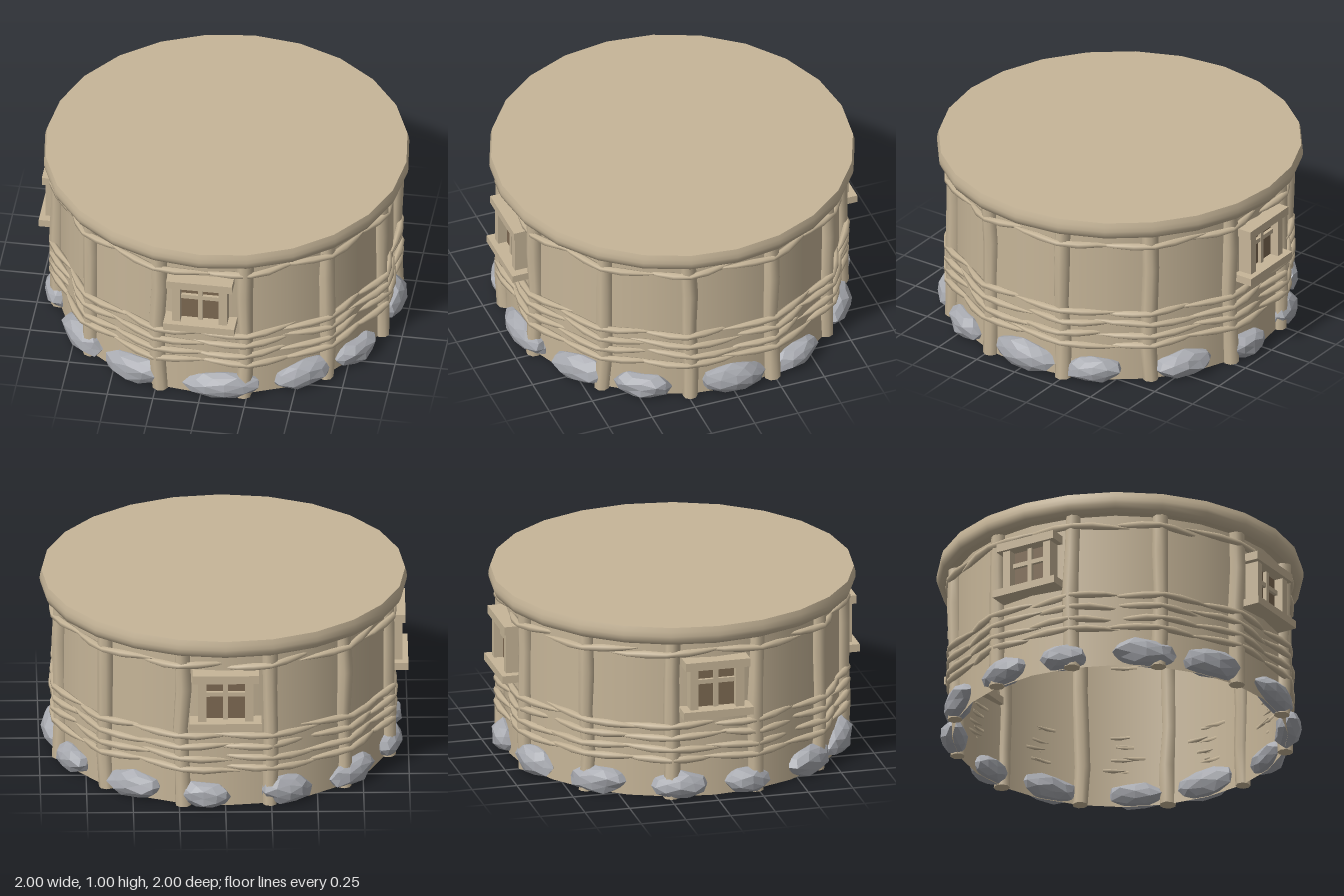
import * as THREE from 'three';

const paint = (name, color) => {
  const m = new THREE.MeshStandardMaterial({ color });
  m.name = name;
  return m;
};
const V = (x, y, z) => new THREE.Vector3(x, y, z);

// Small seeded random numbers
function seeded(seed) {
  return () => {
    seed = (seed * 16807) % 2147483647;
    return seed / 2147483647;
  };
}

// Tube of changing radius through centres; u x v must point along the path
function loft(rings, u, v, sides) {
  const pos = [], idx = [];
  const addRing = (r) => {
    for (let j = 0; j < sides; j++) {
      const a = (j / sides) * Math.PI * 2;
      const p = r.c.clone().addScaledVector(u, Math.cos(a) * r.r).addScaledVector(v, Math.sin(a) * r.r);
      pos.push(p.x, p.y, p.z);
    }
  };
  rings.forEach(addRing);
  for (let i = 0; i < rings.length - 1; i++) {
    for (let j = 0; j < sides; j++) {
      const a = i * sides + j, b = i * sides + (j + 1) % sides;
      idx.push(a, b, a + sides, b, b + sides, a + sides);
    }
  }
  // End caps with their own corners, so the ends stay sharp
  [rings[0], rings[rings.length - 1]].forEach((r, end) => {
    const s = pos.length / 3;
    addRing(r);
    for (let j = 1; j < sides - 1; j++) {
      if (end) idx.push(s, s + j, s + j + 1);
      else idx.push(s, s + j + 1, s + j);
    }
  });
  const g = new THREE.BufferGeometry();
  g.setAttribute('position', new THREE.Float32BufferAttribute(pos, 3));
  g.setIndex(idx);
  g.computeVertexNormals();
  return g;
}

export function createModel() {
  const root = new THREE.Group();
  root.name = 'roundHut';
  const clay = paint('tan clay and wood', 0xc6b598);
  const stoneGrey = paint('stone grey', 0xa9abb1);
  const dark = paint('dark window', 0x7d6952);
  const clayShell = paint('tan clay wall', 0xc6b598);
  clayShell.side = THREE.DoubleSide;
  const rnd = seeded(4711);
  const wobble = (s) => (rnd() - 0.5) * 2 * s;

  const add = (parent, name, geo, mat) => {
    const m = new THREE.Mesh(geo, mat);
    m.name = name;
    parent.add(m);
    return m;
  };

  // Open-ended round wall
  const wall = add(root, 'wall', new THREE.CylinderGeometry(0.91, 0.91, 0.9, 24, 1, true), clayShell);
  wall.position.y = 0.45;

  // Cap slab: rounded rim, flat top and underside
  const rim = [[0.955, 0.893], [0.98, 0.905], [0.992, 0.93], [0.995, 0.95], [0.992, 0.975], [0.985, 1.0]];
  add(root, 'capRim', new THREE.LatheGeometry(rim.map(([r, y]) => new THREE.Vector2(r, y)), 24), clay);
  // Disc corners line up with the rim corners
  const top = add(root, 'capTop', new THREE.CircleGeometry(0.985, 24), clay);
  top.rotation.x = -Math.PI / 2;
  top.position.y = 1.0;
  const under = add(root, 'capUnderside', new THREE.CircleGeometry(0.955, 24), clay);
  under.rotation.x = Math.PI / 2;
  under.position.y = 0.893;

  // Crooked posts, each crossed by bent withies
  const rows = [0.22, 0.28, 0.35, 0.415, 0.83];
  for (let i = 0; i < 12; i++) {
    const bay = new THREE.Group();
    bay.name = 'postBay';
    bay.rotation.y = ((15 + 30 * i) * Math.PI) / 180;
    root.add(bay);

    const post = [0, 0.22, 0.45, 0.68, 0.9].map((y) => ({
      c: V(wobble(0.01), y, 0.915 + wobble(0.006)),
      r: 0.043 + wobble(0.004),
    }));
    add(bay, 'post', loft(post, V(0, 0, 1), V(1, 0, 0), 8), clay);

    rows.forEach((y) => {
      const half = 0.28 + wobble(0.035), shift = wobble(0.025), tilt = wobble(0.018);
      const shape = [[-1, 0.003], [-0.7, 0.015], [-0.38, 0.022], [0, 0.017], [0.38, 0.022], [0.7, 0.015], [1, 0.003]];
      const withy = shape.map(([t, r]) => ({
        c: V(t * half + shift, y + tilt * t + wobble(0.003), 0.951 - 0.09 * Math.pow(Math.abs(t), 1.3)),
        r,
      }));
      add(bay, 'withy', loft(withy, V(0, 1, 0), V(0, 0, 1), 6), clay);
    });
  }

  // Windows on the front, the back and the -x side
  const box = (parent, name, x0, x1, y0, y1, z0, z1, mat) => {
    const m = add(parent, name, new THREE.BoxGeometry(x1 - x0, y1 - y0, z1 - z0), mat);
    m.position.set((x0 + x1) / 2, (y0 + y1) / 2, (z0 + z1) / 2);
  };
  [0, Math.PI, -Math.PI / 2].forEach((angle) => {
    const win = new THREE.Group();
    win.name = 'window';
    win.rotation.y = angle;
    root.add(win);
    box(win, 'pane', -0.11, 0.11, 0.51, 0.76, 0.88, 0.918, dark);
    box(win, 'lintel', -0.18, 0.18, 0.75, 0.797, 0.87, 0.985, clay);
    box(win, 'sill', -0.195, 0.195, 0.477, 0.52, 0.86, 1.0, clay);
    box(win, 'jamb', -0.15, -0.105, 0.515, 0.755, 0.87, 0.968, clay);
    box(win, 'jamb', 0.105, 0.15, 0.515, 0.755, 0.87, 0.968, clay);
    box(win, 'mullion', -0.013, 0.013, 0.515, 0.755, 0.9, 0.938, clay);
    box(win, 'crossbar', -0.108, 0.108, 0.655, 0.68, 0.9, 0.936, clay);
  });

  // Foundation stones: [angle in degrees, half width, height]
  const stones = [
    [8, 0.225, 0.15], [36, 0.19, 0.16], [59, 0.17, 0.14], [90, 0.2, 0.17], [116, 0.17, 0.14],
    [147, 0.18, 0.15], [173, 0.15, 0.14], [201, 0.16, 0.16], [229, 0.18, 0.15], [258, 0.17, 0.15],
    [282, 0.14, 0.14], [310, 0.19, 0.16], [335, 0.2, 0.16],
  ];
  stones.forEach(([deg, half, height], k) => {
    const g = new THREE.IcosahedronGeometry(1, 1);
    const p = g.attributes.position;
    for (let i = 0; i < p.count; i++) {
      const d = V(0, 0, 0).fromBufferAttribute(p, i);
      // Lumpiness depends only on direction, so shared corners stay together
      const n = 0.93 + 0.1 * Math.sin(d.x * 5.1 + k * 2.3) * Math.cos(d.y * 4.3 + d.z * 3.7 + k);
      p.setXYZ(
        i,
        d.x * n * half,
        Math.max(0.003, height * 0.46 + d.y * n * height * 0.57 + d.x * 0.012 * Math.sin(k * 1.7)),
        Math.min(0.99, 0.915 + d.z * n * 0.078 - 0.35 * d.x * d.x * half * half),
      );
    }
    g.computeVertexNormals();
    add(root, 'foundationStone', g, stoneGrey).rotation.y = (deg * Math.PI) / 180;
  });

  return root;
}
